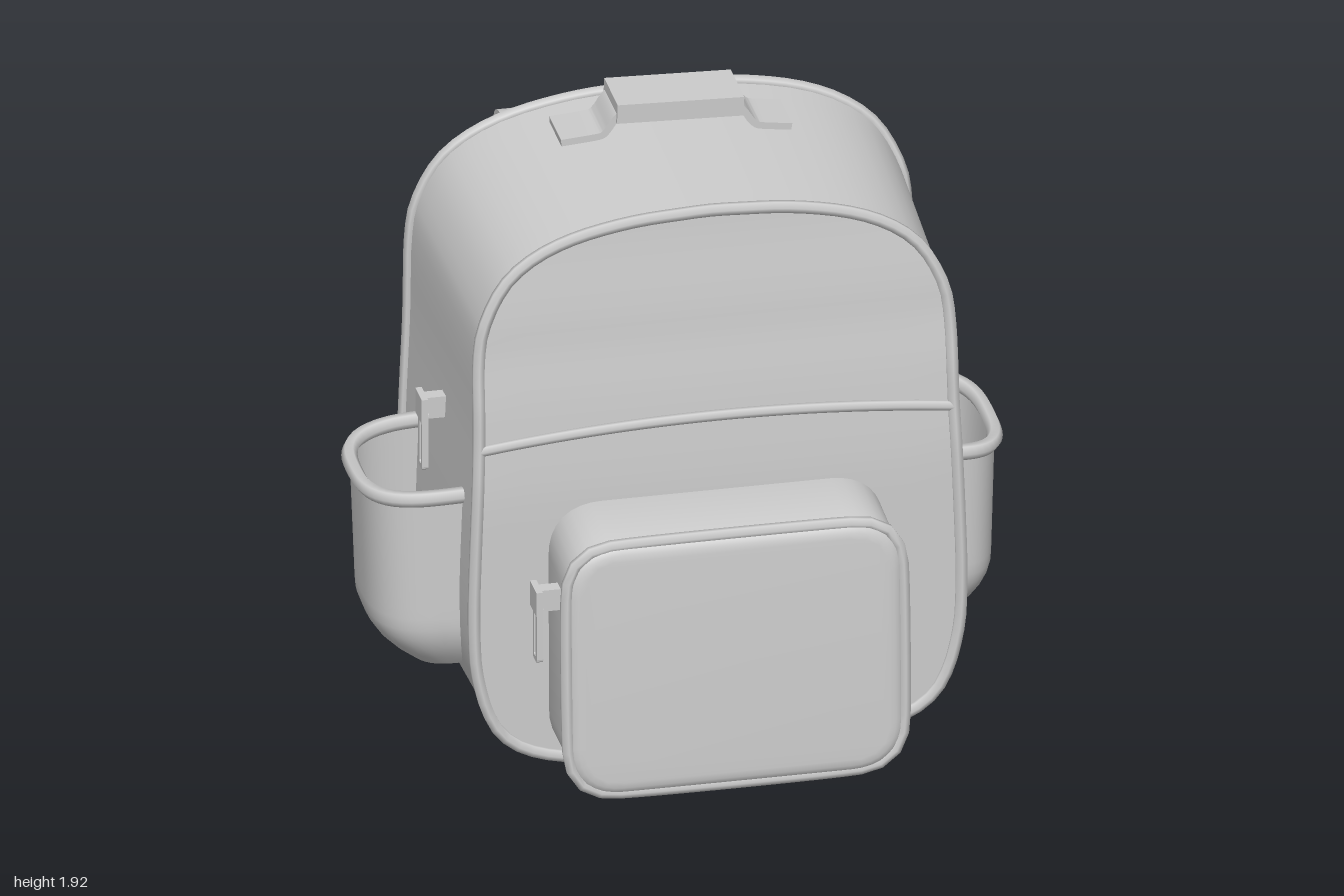
import * as THREE from 'three';
import { toCreasedNormals } from 'three/addons/utils/BufferGeometryUtils.js';

const V = (x, y, z) => new THREE.Vector3(x, y, z);
const lerp = THREE.MathUtils.lerp;
const grey = new THREE.MeshStandardMaterial({ color: 0xcccccc });
const greyBoth = new THREE.MeshStandardMaterial({ color: 0xcccccc, side: THREE.DoubleSide });
const CX = 0.045; // the bag body sits slightly off centre

// Surface from a rule fn(u, v); its front is along du x dv
function grid(fn, nu, nv) {
  const pos = [], idx = [];
  for (let i = 0; i <= nu; i++) for (let j = 0; j <= nv; j++) pos.push(...fn(i / nu, j / nv, i, j).toArray());
  for (let i = 0; i < nu; i++) for (let j = 0; j < nv; j++) {
    const a = i * (nv + 1) + j, b = a + nv + 1;
    idx.push(a, b, b + 1, a, b + 1, a + 1);
  }
  const g = new THREE.BufferGeometry();
  g.setAttribute('position', new THREE.Float32BufferAttribute(pos, 3));
  g.setIndex(idx);
  g.computeVertexNormals();
  return g;
}

function add(parent, name, geometry, material = grey) {
  const m = new THREE.Mesh(geometry, material);
  m.name = name;
  parent.add(m);
  return m;
}

function piping(parent, name, points, radius, closed) {
  const path = new THREE.CatmullRomCurve3(points, closed);
  return add(parent, name, new THREE.TubeGeometry(path, points.length * 2, radius, 6, closed));
}

// Flat band of varying width along a path; its width direction turns from sideA to sideB
function band(parent, name, pts, width, thick, sideA = V(1, 0, 0), sideB = sideA, n = 28) {
  const path = new THREE.CatmullRomCurve3(pts.map(p => V(...p)), false, 'catmullrom', 0.3);
  const corners = [[1, -1], [1, 1], [-1, 1], [-1, -1], [1, -1]];
  const geo = grid((u, v, i, j) => {
    const t = THREE.MathUtils.clamp((i - 1) / n, 0, 1), c = path.getPoint(t);
    if (i === 0 || i === n + 2) return c;
    const T = path.getTangent(t), S = sideA.clone().lerp(sideB, t);
    S.addScaledVector(T, -S.dot(T)).normalize();
    const N = S.clone().cross(T);
    return c.addScaledVector(S, corners[j][0] * width(t) / 2).addScaledVector(N, corners[j][1] * thick / 2);
  }, n + 2, 4);
  return add(parent, name, toCreasedNormals(geo, 0.7));
}

// Look up a value in a short [position, value] table, smoothly
function table(rows) {
  return y => {
    let i = 0;
    while (i < rows.length - 2 && y > rows[i + 1][0]) i++;
    const t = THREE.MathUtils.smoothstep(y, rows[i][0], rows[i + 1][0]) * 0.5
      + 0.5 * THREE.MathUtils.clamp((y - rows[i][0]) / (rows[i + 1][0] - rows[i][0]), 0, 1);
    return lerp(rows[i][1], rows[i + 1][1], t);
  };
}

// Body rules: half outline, front slope and wavy back
const half = new THREE.SplineCurve([[0, 0.01], [0.3, 0.017], [0.53, 0.045], [0.67, 0.13], [0.735, 0.3], [0.75, 0.5],
  [0.742, 0.8], [0.73, 1.1], [0.725, 1.35], [0.7, 1.48], [0.62, 1.61], [0.47, 1.7], [0.25, 1.75], [0, 1.765]]
  .map(p => new THREE.Vector2(...p)));
const frontZ = table([[0, 0.66], [0.9, 0.65], [1.15, 0.63], [1.4, 0.6], [1.77, 0.56]]);
const waveZ = table([[0, -0.22], [0.55, -0.215], [0.9, -0.19], [1.25, -0.135], [1.45, -0.135], [1.65, -0.18], [1.81, -0.22]]);
const backZ = (x, y) => lerp(-0.215, waveZ(y), THREE.MathUtils.clamp((x + 0.75) / 1.55, 0, 1));

function bodyPoint(u, s, p) {
  const h = half.getPoint(u);
  const x = CX + s * h.x * (1 + 0.04 * p), y = h.y * (1 + 0.025 * p);
  return V(x, y, lerp(frontZ(y), backZ(x, y), p));
}
const ringPoint = (t, p) => t < 0.5 ? bodyPoint(t * 2, 1, p) : bodyPoint(2 - t * 2, -1, p);
const ring = (p, n = 60) => Array.from({ length: n }, (_, i) => ringPoint(i / n, p));
// Row across a panel at about height y
function seam(y, p, rise, push) {
  let u = 0.4;
  while (half.getPoint(u).y * (1 + 0.025 * p) < y) u += 0.005;
  return Array.from({ length: 13 }, (_, i) => {
    const s = i / 6 - 1, q = bodyPoint(u, s, p);
    return q.add(V(0, rise * (1 - s * s), push));
  });
}

function roundedRect(w, h, r) {
  const s = new THREE.Shape(), x = w / 2, y = h / 2;
  s.moveTo(-x + r, -y).lineTo(x - r, -y).quadraticCurveTo(x, -y, x, -y + r).lineTo(x, y - r);
  s.quadraticCurveTo(x, y, x - r, y).lineTo(-x + r, y).quadraticCurveTo(-x, y, -x, y - r);
  s.lineTo(-x, -y + r).quadraticCurveTo(-x, -y, -x + r, -y);
  return s;
}

// Thin rectangular frame, used for buckles and pulls
function frame(w, h, bar, depth) {
  const s = roundedRect(w, h, bar * 0.7);
  s.holes.push(new THREE.Path(roundedRect(w - 2 * bar, h - 2 * bar, bar * 0.3).getPoints(3)));
  return new THREE.ExtrudeGeometry(s, { depth, bevelEnabled: false, curveSegments: 3 }).translate(0, 0, -depth / 2);
}

function zipPull(name, x, y, z) {
  const g = new THREE.Group();
  g.name = name;
  add(g, 'slider', new THREE.BoxGeometry(0.07, 0.07, 0.045)).position.set(0.025, 0, 0);
  add(g, 'sliderPlate', new THREE.BoxGeometry(0.02, 0.08, 0.09)).position.set(-0.02, 0, 0);
  add(g, 'pullTag', frame(0.055, 0.19, 0.016, 0.02)).position.set(-0.015, -0.11, 0);
  g.children[2].rotation.y = Math.PI / 2;
  g.position.set(x, y, z);
  return g;
}

// Open pocket on the side of the bag
function sidePocket(side, xIn, xOut, y0, y1) {
  const g = new THREE.Group();
  g.name = side > 0 ? 'leftSidePocket' : 'rightSidePocket';
  const point = (a, v) => {
    const r = Math.pow(1 - Math.min(v / 0.28, 1), 2), ang = a * Math.PI;
    const c = Math.cos(ang), k = Math.sign(c) * Math.pow(Math.abs(c), 0.7);
    const out = Math.pow(Math.max(Math.sin(ang), 0), 0.65) * (xOut - xIn) * (1 - 0.45 * r) * (0.92 + 0.08 * v);
    const dip = -0.02 * Math.sin(ang) * v;
    return V(side * (xIn + out), lerp(y0, y1, v) + dip, 0.215 + 0.265 * k * (1 - 0.27 * r));
  };
  add(g, 'pocketWall', grid((a, v) => point(a, v), 24, 16), greyBoth);
  add(g, 'pocketFloor', grid((a, v) => { const q = point(a, 0); q.x = lerp(side * xIn, q.x, v); return q; }, 24, 2), greyBoth);
  piping(g, 'pocketRim', Array.from({ length: 17 }, (_, i) => point(i / 16, 1)), 0.025, false);
  return g;
}

export function createModel() {
  const bag = new THREE.Group();
  bag.name = 'backpack';

  // Main body
  add(bag, 'bodyShell', grid((t, v) => ringPoint(t, 1 - v), 80, 8));
  add(bag, 'frontPanel', grid((s, u) => bodyPoint(u, s * 2 - 1, 0), 10, 44));
  add(bag, 'backPanel', grid((s, u) => bodyPoint(u, 1 - s * 2, 1), 10, 44));
  piping(bag, 'frontPiping', ring(0), 0.02, true);
  piping(bag, 'backPiping', ring(1), 0.02, true);
  piping(bag, 'frontSeam', seam(1.06, 0, 0.045, 0.003), 0.017, false);
  piping(bag, 'backYokeSeam', seam(1.52, 1, 0, 0), 0.014, false);

  // Front pocket, leaning back towards the top
  const front = new THREE.Group();
  front.name = 'frontPocket';
  const lean = (y, z) => z - 0.035 * (y / 0.4) * THREE.MathUtils.smoothstep(z, 0.6, 0.95) * 0.5;
  const geo = new THREE.ExtrudeGeometry(roundedRect(0.94, 0.73, 0.12),
    { depth: 0.31, bevelThickness: 0.03, bevelSize: 0.045, bevelSegments: 4, curveSegments: 8 });
  const pos = geo.attributes.position;
  for (let i = 0; i < pos.count; i++) {
    const y = pos.getY(i), z = pos.getZ(i) + 0.61;
    pos.setXYZ(i, pos.getX(i), y + (y > 0 ? 0.07 * (0.94 - z) : 0), lean(y, z));
  }
  add(front, 'pocketBody', toCreasedNormals(geo, 0.7));
  const edge = roundedRect(1.035, 0.81, 0.16).getPoints(6).slice(0, -1).map(p => V(p.x, p.y, lean(p.y, 0.925)));
  piping(front, 'pocketPiping', edge, 0.02, true).geometry.computeBoundingBox();
  front.position.set(0.04, 0.44, 0);
  bag.add(front);

  // Side pockets and zip pulls
  bag.add(sidePocket(1, 0.78, 0.975, 0.27, 0.83), sidePocket(-1, 0.69, 0.975, 0.25, 0.85));
  bag.add(zipPull('bodyZipPull', -0.75, 1.03, 0.22), zipPull('pocketZipPull', -0.525, 0.64, 0.8));

  // Carry handle
  const handle = new THREE.Group();
  handle.name = 'carryHandle';
  band(handle, 'handleBand', [[-0.31, 1.795, 0], [-0.19, 1.805, 0], [-0.165, 1.825, 0], [-0.12, 1.875, 0], [0.05, 1.872, 0],
    [0.23, 1.862, 0], [0.275, 1.81, 0], [0.3, 1.79, 0], [0.4, 1.775, 0]], () => 0.165, 0.022, V(0, 0, 1), V(0, 0, 1), 40);
  const grip = add(handle, 'grip', new THREE.BoxGeometry(0.39, 0.062, 0.19));
  grip.position.set(0.055, 1.872, 0);
  grip.rotation.z = -0.035;
  bag.add(handle);

  // Shoulder straps with buckle, loose tail and lower webbing
  for (const [name, side, x, b, tail] of [
    ['leftStrap', 1, 0.345, 0.31, [[0.305, 0.1, -0.58], [0.27, 0.065, -0.75], [0.245, 0.11, -0.97]]],
    ['rightStrap', -1, -0.27, -0.255, [[-0.225, 0.1, -0.58], [-0.23, 0.06, -0.72], [-0.35, 0.1, -0.91]]]]) {
    const strap = new THREE.Group();
    strap.name = name;
    band(strap, 'shoulderPad', [[x, 1.55, -0.14], [x, 1.61, -0.205], [x, 1.7, -0.275], [x, 1.675, -0.36], [x, 1.5, -0.405],
      [x, 1.22, -0.46], [lerp(x, b, 0.3), 0.83, -0.545], [lerp(x, b, 0.7), 0.55, -0.545], [b, 0.31, -0.515]],
      t => t < 0.62 ? 0.29 : lerp(0.29, 0.14, (t - 0.62) / 0.38), 0.045, V(1, 0, 0), V(1, 0, 0), 40);
    const buckle = add(strap, 'buckle', frame(0.18, 0.14, 0.026, 0.04));
    buckle.position.set(b, 0.25, -0.54);
    add(strap, 'buckleBar', new THREE.BoxGeometry(0.16, 0.025, 0.03)).position.set(b, 0.25, -0.54);
    band(strap, 'strapTail', [[b, 0.3, -0.525], [b, 0.18, -0.515], ...tail], () => 0.14, 0.018, V(1, 0, 0),
      side > 0 ? V(1, 0, 0) : V(0.8, 0, -0.6));
    const corner = CX + side * 0.74;
    band(strap, 'lowerWebbing', [[b, 0.28, -0.52], [b + side * 0.12, 0.39, -0.47], [lerp(b, corner, 0.5), 0.38, -0.4],
      [lerp(b, corner, 0.78), 0.32, -0.32], [lerp(b, corner, 0.9), 0.31, -0.28]],
      () => 0.11, 0.014, V(side, 0, 0), V(0, 0.9, -0.4));
    band(strap, 'webbingAnchor', [[lerp(b, corner, 0.74), 0.29, -0.34], [lerp(b, corner, 0.88), 0.31, -0.27], [corner, 0.32, -0.2]],
      t => lerp(0.16, 0.3, t), 0.025, V(0, 1, -0.35), V(0, 1, 0), 8);
    bag.add(strap);
  }
  return bag;
}
